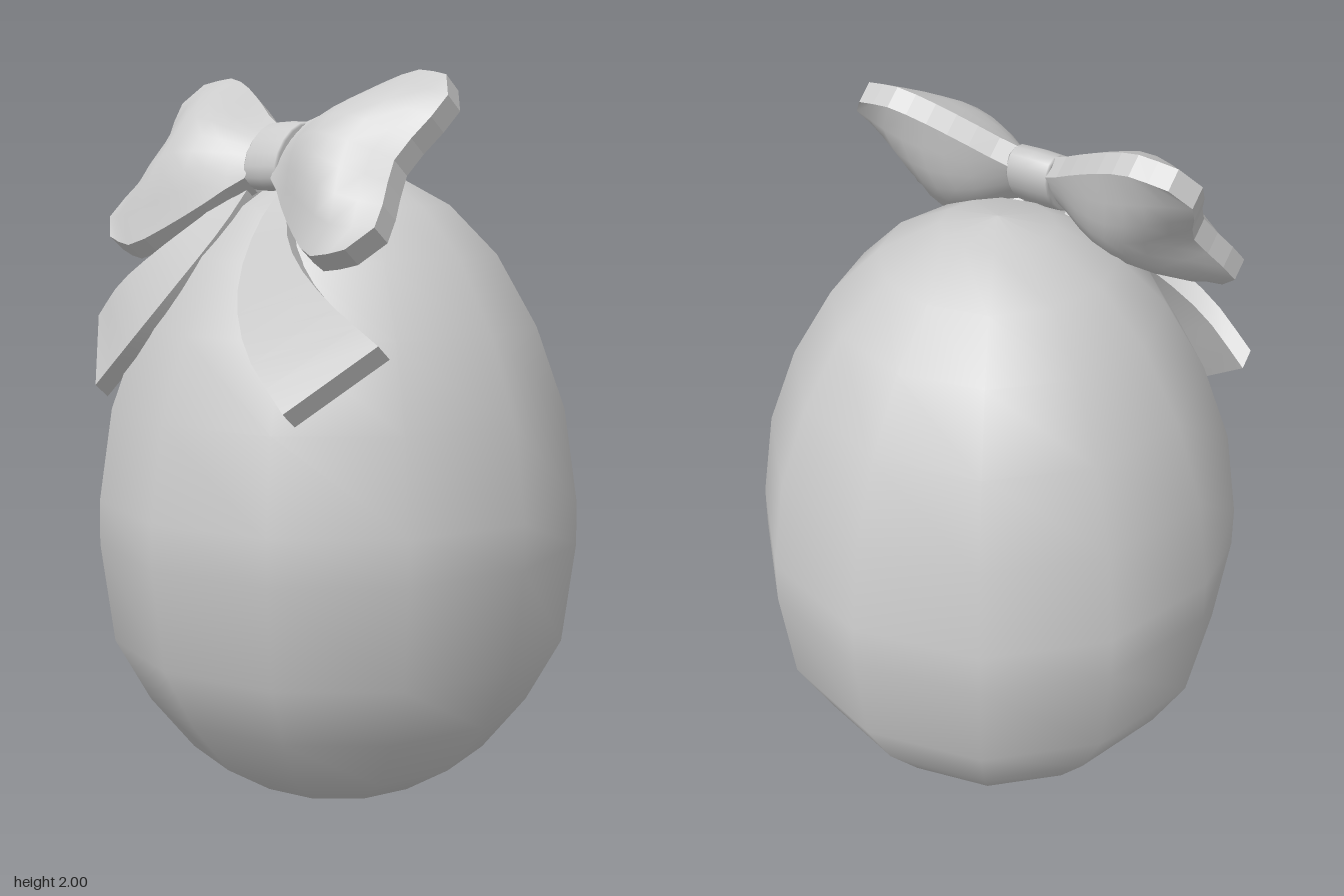
import * as THREE from 'three';
import { mergeGeometries } from 'three/addons/utils/BufferGeometryUtils.js';

const material = new THREE.MeshStandardMaterial({ color: 0xcccccc });
const lerp = THREE.MathUtils.lerp;

function addMesh(parent, geometry, name) {
  const mesh = new THREE.Mesh(geometry, material);
  mesh.name = name;
  parent.add(mesh);
  return mesh;
}

// Patch of nu x nv quads from f(u, v); it faces along dP/du x dP/dv
function patch(nu, nv, f, flat = false) {
  const positions = [], index = [];
  for (let i = 0; i <= nu; i++)
    for (let j = 0; j <= nv; j++) positions.push(...f(i / nu, j / nv));
  for (let i = 0; i < nu; i++)
    for (let j = 0; j < nv; j++) {
      const a = i * (nv + 1) + j, b = a + nv + 1;
      index.push(a, b, b + 1, a, b + 1, a + 1);
    }
  let g = new THREE.BufferGeometry();
  g.setAttribute('position', new THREE.Float32BufferAttribute(positions, 3));
  g.setIndex(index);
  if (!flat) g.computeVertexNormals();
  g = g.toNonIndexed();
  if (flat) g.computeVertexNormals();
  return g;
}

// Smooth function y(x) through evenly spaced values, x in 0..1
function profile(...values) {
  const curve = new THREE.SplineCurve(values.map((y, i) => new THREE.Vector2(i, y)));
  return x => curve.getPoint(x).y;
}

// Puffed loop on the +x side: two bulging sheets joined by a narrow rim
function loopGeometry() {
  const top = profile(0.085, 0.15, 0.215, 0.255, 0.235);
  const bottom = profile(-0.1, -0.19, -0.275, -0.335, -0.31);
  const outer = profile(0.455, 0.51, 0.495, 0.47, 0.45, 0.465, 0.49, 0.505, 0.46);
  const puff = profile(0.012, 0.065, 0.1, 0.075, 0);
  const point = (s, t, side) => {
    const k = 2 * t - 1;
    const depth = 0.03 + puff(s) * (1 - k * k);
    return [lerp(0.05, outer(t), s), lerp(bottom(s), top(s), t), side * depth];
  };
  const side = v => 2 * v - 1;
  return mergeGeometries([
    patch(8, 8, (u, v) => point(u, v, 1)),
    patch(8, 8, (u, v) => point(1 - u, v, -1)),
    patch(8, 1, (u, v) => point(u, 0, side(v)), true),
    patch(8, 1, (u, v) => point(1, u, side(v)), true),
    patch(8, 1, (u, v) => point(1 - u, 1, side(v)), true),
  ]);
}

// Hanging ribbon on the +x side: a thick strip ruled between two edge curves
function tailGeometry() {
  const path = pts => new THREE.CatmullRomCurve3(pts.map(p => new THREE.Vector3(...p)));
  const inner = path([[0.065, 1.74, 0.25], [0.065, 1.62, 0.36], [0.12, 1.47, 0.475],
    [0.22, 1.33, 0.54], [0.37, 1.19, 0.557]]);
  const outer = path([[0.12, 1.74, 0.24], [0.15, 1.66, 0.33], [0.25, 1.565, 0.41],
    [0.4, 1.46, 0.44], [0.545, 1.357, 0.41]]);
  const point = (u, v, back) => {
    const p = inner.getPoint(u).lerp(outer.getPoint(u), v);
    return [p.x, p.y - 0.035 * back, p.z - 0.04 * back];
  };
  return mergeGeometries([
    patch(10, 1, (u, v) => point(u, v, 0)),
    patch(10, 1, (u, v) => point(u, 1 - v, 1)),
    patch(10, 1, (u, v) => point(u, 0, 1 - v)),
    patch(10, 1, (u, v) => point(u, 1, v)),
    patch(1, 1, (u, v) => point(1, u, 1 - v)),
    patch(1, 1, (u, v) => point(0, u, v)),
  ]);
}

export function createModel() {
  const model = new THREE.Group();
  model.name = 'eggWithBow';

  // Twelve-sided smooth egg
  const eggProfile = [[0, 0.01], [0.13, 0.022], [0.27, 0.065], [0.42, 0.16], [0.54, 0.31],
    [0.635, 0.485], [0.67, 0.76], [0.668, 0.88], [0.63, 1.13], [0.55, 1.35], [0.44, 1.54],
    [0.31, 1.67], [0.15, 1.755], [0, 1.78]].map(p => new THREE.Vector2(...p));
  addMesh(model, new THREE.LatheGeometry(eggProfile, 12), 'egg');

  // Bow leaning back against the top of the egg
  const bow = new THREE.Group();
  bow.name = 'bow';
  bow.position.set(0, 1.8, 0.21);
  bow.rotation.x = THREE.MathUtils.degToRad(-40);
  model.add(bow);

  // Knot: oval barrel lying across the bow
  const knotProfile = [[0, -0.065], [0.9, -0.065], [0.97, -0.058], [1, 0], [0.97, 0.058],
    [0.9, 0.065], [0, 0.065]].map(p => new THREE.Vector2(...p));
  const knot = new THREE.LatheGeometry(knotProfile, 16);
  knot.rotateZ(Math.PI / 2);
  knot.scale(1, 0.105, 0.066);
  addMesh(bow, knot, 'knot');

  // Mirrored loops and ribbon tails
  const loop = loopGeometry(), tail = tailGeometry();
  for (const [name, sign] of [['left', 1], ['right', -1]]) {
    addMesh(bow, loop, name + 'Loop').scale.x = sign;
    addMesh(model, tail, name + 'Tail').scale.x = sign;
  }
  return model;
}
